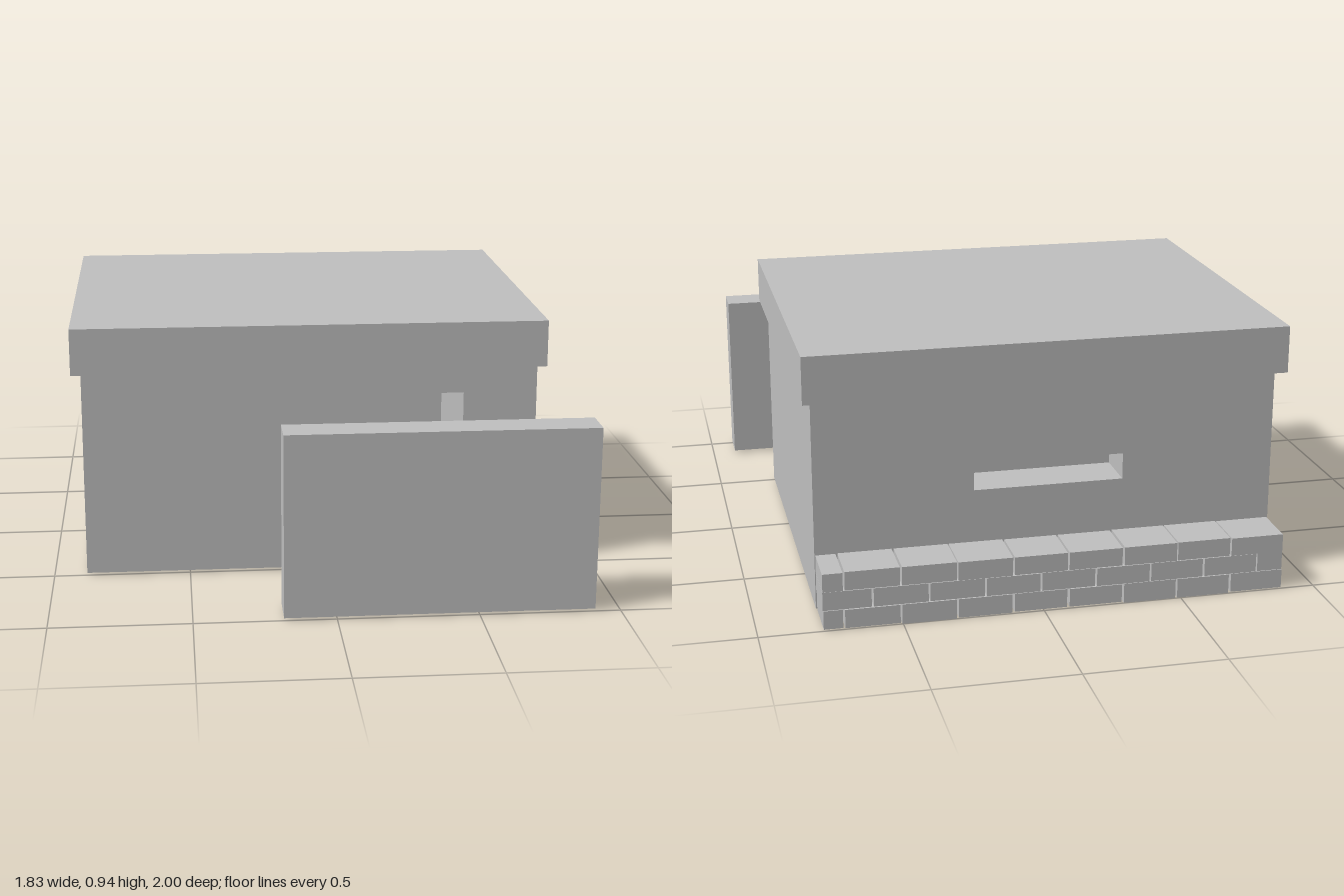
import * as THREE from 'three';

export function createModel() {
  const model = new THREE.Group();
  model.name = 'bunker';
  const concrete = new THREE.MeshStandardMaterial({ color: 0xbfbfbf });
  concrete.name = 'concrete grey';

  const add = (name, geometry, parent = model) => {
    const mesh = new THREE.Mesh(geometry, concrete);
    mesh.name = name;
    parent.add(mesh);
    return mesh;
  };
  // Box given by its lower and upper bounds
  const box = (name, [x0, x1], [y0, y1], [z0, z1], parent) => {
    const mesh = add(name, new THREE.BoxGeometry(x1 - x0, y1 - y0, z1 - z0), parent);
    mesh.position.set((x0 + x1) / 2, (y0 + y1) / 2, (z0 + z1) / 2);
    return mesh;
  };
  const outline = (points, Type = THREE.Shape) => new Type(points.map(([x, y]) => new THREE.Vector2(x, y)));

  const left = 0.78, right = -0.88, front = 0.5, back = -0.83;
  const base = 0.01, top = 0.77, wall = 0.17;
  const wallGeometry = (shape, z) =>
    new THREE.ExtrudeGeometry(shape, { depth: wall, bevelEnabled: false }).translate(0, 0, z);

  // Front wall with a doorway open down to the ground
  add('frontWall', wallGeometry(outline([
    [right, base], [0.14, base], [0.14, 0.67], [0.51, 0.67], [0.51, base],
    [left, base], [left, top], [right, top],
  ]), front - wall));

  // Back wall with a viewing slit
  const backShape = outline([[right, base], [left, base], [left, top], [right, top]]);
  backShape.holes.push(outline([[-0.325, 0.405], [-0.325, 0.5], [0.215, 0.5], [0.215, 0.405]], THREE.Path));
  add('backWall', wallGeometry(backShape, back));

  // Side walls, floor and overhanging roof slab
  const inner = [back + wall, front - wall];
  box('leftWall', [left - wall, left], [base, top], inner);
  box('rightWall', [right, right + wall], [base, top], inner);
  box('floor', [right + wall, left - wall], [base, base + 0.01], inner);
  box('roof', [-0.915, 0.81], [top, 0.94], [-0.865, 0.53]);

  // Free-standing wall shielding the doorway
  box('blastWall', [-0.185, 0.91], [base, 0.67], [0.87, 1]);

  // Staggered blocks stacked along the back, slightly uneven
  let seed = 7;
  const jitter = (amount) => {
    seed = (seed * 16807) % 2147483647;
    return (seed / 2147483647) * amount;
  };
  const blocks = new THREE.Group();
  blocks.name = 'blockParapet';
  model.add(blocks);
  const pitch = 0.198, rowHeight = 0.069;
  for (let row = 0; row < 3; row++) {
    const y = 0.006 + row * rowHeight;
    let x = right;
    let end = right + (row % 2 ? pitch / 2 : pitch);
    while (x < left - 0.01) {
      const stop = Math.min(end, left);
      box('block', [x + 0.002 + jitter(0.003), stop - 0.002 - jitter(0.003)],
        [y - (row ? 0 : jitter(0.006)), y + rowHeight - 0.001 - jitter(0.002)],
        [-1 + jitter(0.004), back], blocks);
      x = end;
      end += pitch;
    }
  }

  return model;
}
